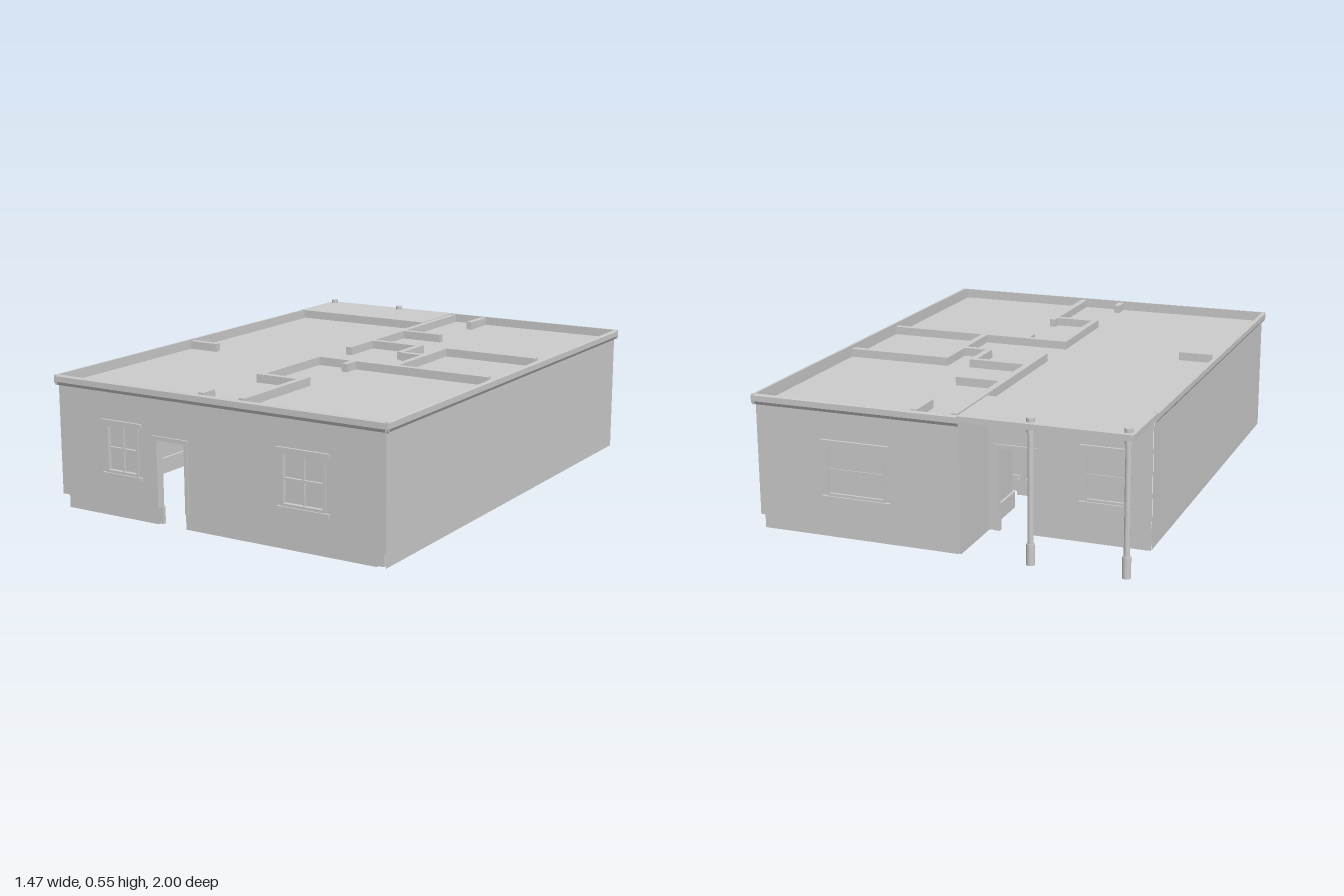
import * as THREE from 'three';

const TOP = 0.53, CEIL = 0.497, BASE = 0.01, PLINTH = 0.07;

export function createModel() {
  const house = new THREE.Group();
  house.name = 'house';
  const mat = new THREE.MeshStandardMaterial({ color: 0xcccccc, flatShading: true });
  const twoSided = new THREE.MeshStandardMaterial({ color: 0xcccccc, side: THREE.DoubleSide });

  const add = (parent, name, geometry, material = mat) => {
    const mesh = new THREE.Mesh(geometry, material);
    mesh.name = name;
    parent.add(mesh);
    return mesh;
  };

  // Box given by its limits on each axis
  const box = (parent, name, x0, x1, y0, y1, z0, z1) => {
    const mesh = add(parent, name, new THREE.BoxGeometry(x1 - x0, y1 - y0, z1 - z0));
    mesh.position.set((x0 + x1) / 2, (y0 + y1) / 2, (z0 + z1) / 2);
    return mesh;
  };

  // Flat wall face with window holes, door notches and optional raised corners
  const wallFace = (u0, u1, windows, doors, notch) => {
    const s = new THREE.Shape();
    s.moveTo(u0, TOP);
    if (notch) {
      s.lineTo(u0, 0.06);
      s.lineTo(u0 + notch, 0.06);
    }
    s.lineTo(u0 + notch, BASE);
    for (const [a, b, h] of doors) {
      s.lineTo(a, BASE);
      s.lineTo(a, h);
      s.lineTo(b, h);
      s.lineTo(b, BASE);
    }
    s.lineTo(u1 - notch, BASE);
    if (notch) {
      s.lineTo(u1 - notch, 0.06);
      s.lineTo(u1, 0.06);
    }
    s.lineTo(u1, TOP);
    s.closePath();
    for (const [a, b, y0, y1] of windows) {
      const hole = new THREE.Path();
      hole.moveTo(a, y0);
      hole.lineTo(a, y1);
      hole.lineTo(b, y1);
      hole.lineTo(b, y0);
      hole.closePath();
      s.holes.push(hole);
    }
    return new THREE.ShapeGeometry(s);
  };

  // Window with frame, crossbars, header and sill; z = 0 is the outer wall face
  const addWindow = (parent, [a, b, y0, y1], t) => {
    const w = new THREE.Group();
    w.name = 'window';
    parent.add(w);
    const f = 0.01, out = 0.006, back = -t - 0.004, m = (a + b) / 2, n = (y0 + y1) / 2;
    box(w, 'windowPane', a, b, y0, y1, -t / 2 - 0.002, -t / 2 + 0.002);
    for (const x of [a, b - f]) box(w, 'windowJamb', x, x + f, y0, y1, back, out);
    for (const y of [y0, y1 - f]) box(w, 'windowRail', a, b, y, y + f, back, out);
    box(w, 'verticalBar', m - 0.003, m + 0.003, y0, y1, -t, 0);
    box(w, 'horizontalBar', a, b, n - 0.004, n + 0.004, -t, 0);
    box(w, 'windowHeader', a - 0.017, b + 0.017, y1, y1 + 0.015, back, 0.01);
    box(w, 'windowSill', a - 0.017, b + 0.017, y0 - 0.015, y0, back, 0.012);
  };

  // Door surround without a leaf
  const addDoorFrame = (parent, [a, b, h], t) => {
    for (const x of [a - 0.015, b]) box(parent, 'doorJamb', x, x + 0.015, PLINTH, h, -t - 0.005, 0.005);
    box(parent, 'doorHeader', a - 0.018, b + 0.018, h, h + 0.015, -t - 0.007, 0.007);
  };

  // Hollow outer wall: two faces open at top and bottom, cornice and inner baseboard
  const outerWall = (name, turn, x, z, u0, u1, t, { windows = [], doors = [], notch = 0, cornice = true, ends = [0, 0] } = {}) => {
    const g = new THREE.Group();
    g.name = name;
    g.rotation.y = turn;
    g.position.set(x, 0, z);
    house.add(g);
    add(g, 'outerFace', wallFace(u0, u1, windows, doors, notch));
    const flip = (list) => list.map(([a, b, ...r]) => [-b, -a, ...r]).sort((p, q) => p[0] - q[0]);
    const inner = add(g, 'innerFace', wallFace(-u1 + t, -u0 - t, flip(windows), flip(doors), 0));
    inner.rotation.y = Math.PI;
    inner.position.z = -t;
    windows.forEach((w) => addWindow(g, w, t));
    doors.forEach((d) => addDoorFrame(g, d, t));
    const cuts = [u0 + t, ...doors.flatMap(([a, b]) => [a, b]), u1 - t];
    for (let i = 0; i < cuts.length; i += 2)
      box(g, 'baseboard', cuts[i], cuts[i + 1], 0.005, PLINTH, -t - 0.012, -t + 0.002);
    if (!cornice) return;
    const profile = new THREE.Shape([[0, 0.49], [0.005, 0.49], [0.013, 0.503], [0.013, 0.525], [0.009, TOP], [0, TOP]]
      .map(([px, py]) => new THREE.Vector2(px, py)));
    const a = u0 - ends[0], b = u1 + ends[1];
    const geo = new THREE.ExtrudeGeometry(profile, { depth: b - a, bevelEnabled: false });
    geo.rotateY(-Math.PI / 2).translate(b, 0, 0);
    add(g, 'cornice', geo);
  };

  const X = 0.722, Z = 0.987, H = Math.PI / 2, e = 0.012;
  outerWall('frontWall', 0, 0, Z, -X, X, 0.026, {
    windows: [[-0.495, -0.342, 0.18, 0.37], [0.295, 0.48, 0.17, 0.37]],
    doors: [[-0.255, -0.13, 0.335]], notch: 0.033, ends: [e, e],
  });
  outerWall('rightWall', H, X, 0, -Z, Z, 0.024, { ends: [e, e] });
  outerWall('leftWall', -H, -X, 0, -0.71, Z, 0.02, { ends: [0, e] });
  outerWall('backWall', Math.PI, 0, -Z, -X, 0.09, 0.012, {
    windows: [[-0.44, -0.2, 0.17, 0.37]], notch: 0.033, ends: [e, 0],
  });
  outerWall('porchSideWall', -H, -0.09, 0, -Z, -0.71, 0.015, { cornice: false });
  outerWall('porchBackWall', Math.PI, 0, -0.715, 0.09, X, 0.012, {
    windows: [[0.465, 0.63, 0.17, 0.37]], doors: [[0.13, 0.265, 0.335]], cornice: false,
  });

  // Ceiling sheet over the rooms, leaving out the porch corner
  const outline = [[-0.705, 0.958], [0.695, 0.958], [0.695, -0.975], [-0.078, -0.975], [-0.078, -0.703], [-0.705, -0.703]];
  const ceiling = new THREE.ShapeGeometry(new THREE.Shape(outline.map(([x, z]) => new THREE.Vector2(x, -z))));
  ceiling.rotateX(-H);
  add(house, 'ceiling', ceiling, twoSided).position.y = CEIL;

  // Porch roof slab and posts
  box(house, 'porchRoof', -0.735, -0.086, 0.508, TOP, -1, -0.714);
  for (const x of [-0.708, -0.352]) {
    const post = new THREE.Group();
    post.name = 'porchPost';
    post.position.set(x, 0, -0.968);
    house.add(post);
    add(post, 'shaft', new THREE.CylinderGeometry(0.011, 0.011, 0.545, 16)).position.y = 0.2725;
    add(post, 'postFoot', new THREE.CylinderGeometry(0.016, 0.016, 0.08, 16)).position.y = 0.04;
    add(post, 'postCap', new THREE.CylinderGeometry(0.015, 0.015, 0.055, 16)).position.y = 0.5175;
  }

  // Partition walls along one axis at a fixed offset, with a wider baseboard
  const T = 0.013;
  const partition = (axis, at, from, to, low = BASE) => {
    const part = (name, half, y0, y1) => axis === 'x'
      ? box(house, name, from, to, y0, y1, at - half, at + half)
      : box(house, name, at - half, at + half, y0, y1, from, to);
    part('partitionWall', T, low, TOP);
    if (low === BASE) part('partitionBaseboard', T + 0.01, 0.005, PLINTH);
  };
  const LINTEL = 0.345;
  [
    // Rear spine wall with its doorway and stubs
    ['z', -0.065, -0.972, -0.44], ['z', -0.065, -0.44, -0.3, LINTEL], ['z', -0.065, -0.3, -0.05],
    ['z', 0.09, -0.972, -0.83], ['x', -0.5, -0.052, 0.125],
    // Stepped closet walls
    ['x', -0.235, -0.052, 0.18], ['z', 0.167, -0.222, -0.07], ['x', -0.07, 0.18, 0.27],
    // Small room on the right side
    ['x', -0.245, 0.27, 0.695], ['z', 0.283, -0.232, -0.09, LINTEL], ['z', 0.283, -0.09, 0.16],
    // Front room walls
    ['x', 0.173, -0.083, -0.04], ['x', 0.173, -0.04, 0.085, LINTEL], ['x', 0.173, 0.085, 0.695],
    ['z', 0.1, 0.186, 0.25], ['z', -0.07, 0.186, 0.59], ['x', 0.575, -0.057, 0.097],
    ['z', 0.11, 0.53, 0.96], ['z', -0.07, 0.89, 0.96],
    // Stub on the left wall
    ['x', 0.17, -0.702, -0.57],
  ].forEach((p) => partition(...p));

  return house;
}
